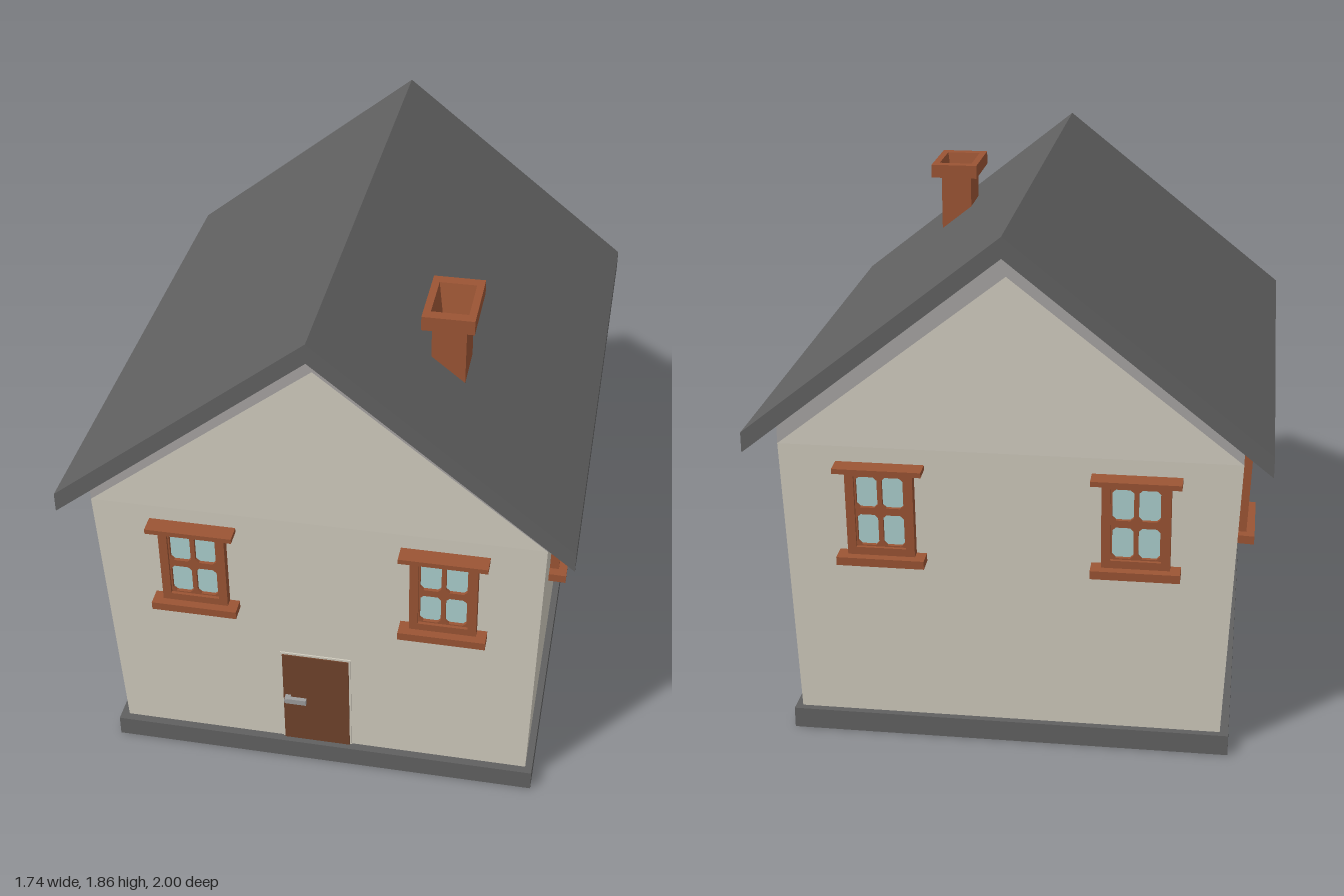
import * as THREE from 'three';

const mat = (name, color) => {
  const m = new THREE.MeshStandardMaterial({ color });
  m.name = name;
  return m;
};

// Flat-shaded surface through rectangular rings [x0, x1, z0, z1, y]
function loft(rings, capStart, capEnd) {
  const pos = [];
  const corners = ([x0, x1, z0, z1, y]) => [[x0, y, z1], [x1, y, z1], [x1, y, z0], [x0, y, z0]];
  const quad = (a, b, c, d) => [a, b, c, a, c, d].forEach((p) => pos.push(...p));
  const loops = rings.map(corners);
  for (let i = 0; i + 1 < loops.length; i++) {
    for (let k = 0; k < 4; k++) {
      const n = (k + 1) % 4;
      quad(loops[i][k], loops[i][n], loops[i + 1][n], loops[i + 1][k]);
    }
  }
  if (capStart) quad(...loops[0].slice().reverse());
  if (capEnd) quad(...loops[loops.length - 1]);
  const g = new THREE.BufferGeometry();
  g.setAttribute('position', new THREE.Float32BufferAttribute(pos, 3));
  g.computeVertexNormals();
  return g;
}

const polygon = (pts) => new THREE.Shape(pts.map(([x, y]) => new THREE.Vector2(x, y)));
const extrude = (shape, z0, z1) =>
  new THREE.ExtrudeGeometry(shape, { depth: z1 - z0, bevelEnabled: false }).translate(0, 0, z0);

// Upside-down V: half width, lower eave, lower ridge, upper eave, upper ridge
const chevron = (w, e0, r0, e1, r1) =>
  polygon([[-w, e0], [0, r0], [w, e0], [w, e1], [0, r1], [-w, e1]]);

const rect = (cx, cy, hw, hh) =>
  [[cx - hw, cy - hh], [cx + hw, cy - hh], [cx + hw, cy + hh], [cx - hw, cy + hh]];

// Rectangle with clipped corners
const clipped = (cx, cy, hw, hh, c) => [
  [cx - hw + c, cy - hh], [cx + hw - c, cy - hh], [cx + hw, cy - hh + c], [cx + hw, cy + hh - c],
  [cx + hw - c, cy + hh], [cx - hw + c, cy + hh], [cx - hw, cy + hh - c], [cx - hw, cy - hh + c]];

export function createModel() {
  const house = new THREE.Group();
  house.name = 'house';
  const plaster = mat('plaster', 0xcfcabd);
  const trim = mat('trimGrey', 0xa5a2a1);
  const slate = mat('slate', 0x606060);
  const brick = mat('redBrown', 0x9a5434);
  const wood = mat('doorBrown', 0x70432b);
  const glass = mat('glass', 0xaccfce);
  const metal = mat('metal', 0x9c9c9c);

  const add = (parent, name, geometry, material) => {
    const m = new THREE.Mesh(geometry, material);
    m.name = name;
    parent.add(m);
    return m;
  };
  const box = (parent, name, material, x0, x1, y0, y1, z0, z1) =>
    add(parent, name, new THREE.BoxGeometry(x1 - x0, y1 - y0, z1 - z0)
      .translate((x0 + x1) / 2, (y0 + y1) / 2, (z0 + z1) / 2), material);

  // Plinth, flaring walls and gables
  box(house, 'foundation', slate, -0.76, 0.775, 0, 0.075, -0.875, 0.91);
  add(house, 'walls', loft([
    [-0.73, 0.75, -0.85, 0.88, 0.07],
    [-0.775, 0.775, -0.905, 0.915, 1.1]], false, false), plaster);
  add(house, 'gables', extrude(polygon([[-0.775, 1.1], [0.775, 1.1], [0, 1.705]]), -0.905, 0.915), plaster);
  add(house, 'eaveTrim', extrude(chevron(0.775, 1.1, 1.705, 1.175, 1.79), -0.905, 0.915), trim);

  // Roof
  add(house, 'roof', extrude(chevron(0.87, 1.1, 1.79, 1.17, 1.86), -1, 1), slate);

  // Chimney: shaft, cap and tapering flue in one surface
  add(house, 'chimney', loft([
    [0.33, 0.445, 0.41, 0.59, 1.45],
    [0.33, 0.445, 0.41, 0.59, 1.72],
    [0.3, 0.475, 0.36, 0.63, 1.72],
    [0.3, 0.475, 0.36, 0.63, 1.77],
    [0.325, 0.45, 0.4, 0.59, 1.77],
    [0.35, 0.425, 0.44, 0.55, 1.62]], false, true), brick);

  // Window, facing +z around its own centre
  function makeWindow() {
    const w = new THREE.Group();
    w.name = 'window';
    const frame = polygon(rect(0, 0, 0.115, 0.16));
    frame.holes.push(new THREE.Path(polygon(rect(0, 0.005, 0.085, 0.132)).getPoints()));
    add(w, 'windowFrame', extrude(frame, -0.02, 0.033), brick);

    const bars = polygon(rect(0, 0.005, 0.088, 0.135));
    for (const sx of [-1, 1]) {
      for (const sy of [-1, 1]) {
        bars.holes.push(new THREE.Path(
          polygon(clipped(sx * 0.044, 0.005 + sy * 0.07, 0.036, 0.057, 0.012)).getPoints()));
      }
    }
    add(w, 'glazingBars', extrude(bars, 0, 0.022), brick);
    box(w, 'windowGlass', glass, -0.086, 0.086, -0.128, 0.138, 0.002, 0.01);
    box(w, 'lintel', brick, -0.15, 0.15, 0.157, 0.175, -0.01, 0.062);
    box(w, 'sill', brick, -0.15, 0.15, -0.185, -0.155, -0.02, 0.062);
    return w;
  }

  // Two windows on each wall: turn, wall distance at window height, lean, positions
  const walls = [
    ['front', 0, 0.907, 0.035, [-0.425, 0.44]],
    ['back', Math.PI, 0.893, 0.055, [-0.43, 0.43]],
    ['left', Math.PI / 2, 0.769, 0.025, [-0.41, 0.455]],
    ['right', -Math.PI / 2, 0.765, 0.045, [0.41, -0.455]],
  ];
  for (const [name, turn, dist, lean, spots] of walls) {
    const side = new THREE.Group();
    side.name = name + 'Windows';
    side.rotation.y = turn;
    for (const x of spots) {
      const w = makeWindow();
      w.position.set(x, 0.87, dist);
      w.rotation.x = Math.atan(lean / 1.03);
      side.add(w);
    }
    house.add(side);
  }

  // Door with thin surround and lever handle, leaning with the wall
  const door = new THREE.Group();
  door.name = 'door';
  door.position.set(-0.0125, 0.075, 0.88);
  door.rotation.x = Math.atan(0.035 / 1.03);
  box(door, 'doorSurround', plaster, -0.127, 0.127, 0, 0.422, -0.01, 0.005);
  box(door, 'doorLeaf', wood, -0.12, 0.12, 0, 0.414, -0.01, 0.009);
  box(door, 'handleStem', metal, -0.112, -0.092, 0.2, 0.22, 0.005, 0.035);
  box(door, 'handleLever', metal, -0.1, -0.033, 0.2, 0.222, 0.02, 0.035);
  house.add(door);

  return house;
}
